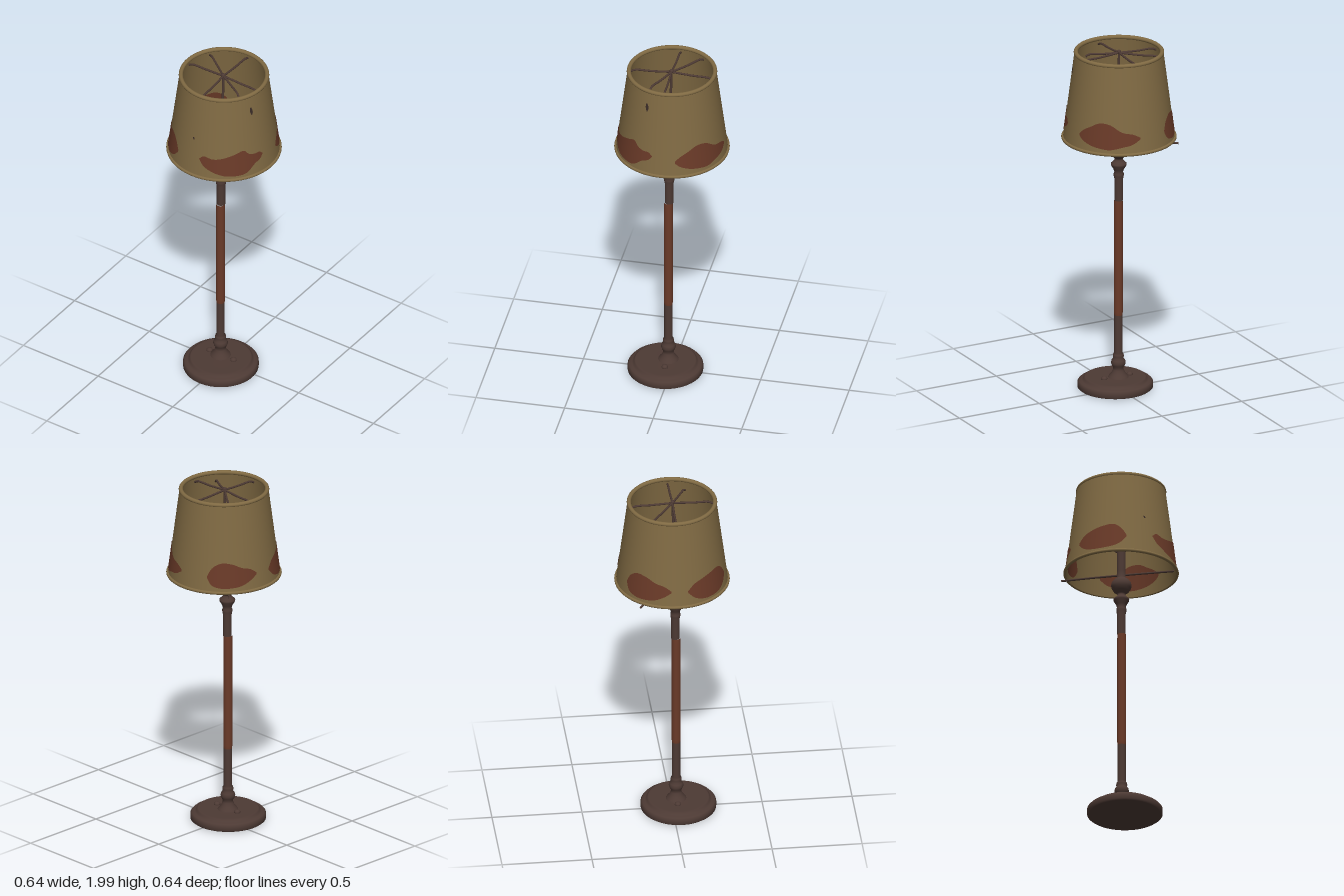
import * as THREE from 'three';

const material = (name, color, side = THREE.FrontSide) => {
  const m = new THREE.MeshStandardMaterial({ color, side });
  m.name = name;
  return m;
};

// Shade wall: radius at height y, straight taper
const wallRadius = (y) => 0.31 + (y - 1.48) * (0.245 - 0.31) / (1.99 - 1.48);
const WALL = 0.008;

export function createModel() {
  const group = new THREE.Group();
  const iron = material('dark iron', 0x4d3a34);
  const rust = material('rust', 0x6a3a28);
  const cloth = material('olive cloth', 0x806a43);
  const stain = material('rust stain', 0x6a3a28, THREE.DoubleSide);
  const tear = material('dark tear', 0x3a2c27, THREE.DoubleSide);

  const add = (name, geometry, mat, x = 0, y = 0, z = 0) => {
    const mesh = new THREE.Mesh(geometry, mat);
    mesh.name = name;
    mesh.position.set(x, y, z);
    group.add(mesh);
    return mesh;
  };
  const lathe = (points, segments = 48) =>
    new THREE.LatheGeometry(points.map(([r, y]) => new THREE.Vector2(r, y)), segments);
  const rod = (name, points, radius) => {
    const curve = new THREE.CatmullRomCurve3(points.map((p) => new THREE.Vector3(...p)));
    return add(name, new THREE.TubeGeometry(curve, 16, radius, 8), iron);
  };

  // Stepped round foot
  add('base', lathe([
    [0, 0.003], [0.2, 0.003], [0.2, 0.003], [0.209, 0.01], [0.209, 0.036], [0.2, 0.046],
    [0.185, 0.05], [0.176, 0.053], [0.174, 0.062], [0.166, 0.067], [0.155, 0.064], [0, 0.068],
  ], 64), iron, 0.004, 0, 0.036);

  // Bolt heads on the foot
  for (const x of [-0.08, 0.08]) {
    const bolt = add('baseBolt', new THREE.SphereGeometry(0.018, 16, 10), iron, x, 0.068, 0.024);
    bolt.scale.y = 0.8;
  }

  // Column in three lengths: turned foot, rusty tube, turned head
  const px = -0.008, pz = 0.022;
  add('lowerColumn', lathe([
    [0.06, 0.06], [0.052, 0.075], [0.038, 0.09], [0.03, 0.11], [0.028, 0.122], [0.036, 0.135],
    [0.041, 0.15], [0.037, 0.166], [0.028, 0.176], [0.031, 0.188], [0.029, 0.2], [0.023, 0.208],
    [0.023, 0.43],
  ], 32), iron, px, 0, pz);
  add('rustyColumn', lathe([[0.023, 0.43], [0.025, 0.45], [0.025, 1.08], [0.024, 1.105]], 32),
    rust, px, 0, pz);
  add('upperColumn', lathe([
    [0.024, 1.105], [0.024, 1.23], [0.028, 1.25], [0.028, 1.262], [0.024, 1.272], [0.029, 1.288],
    [0.043, 1.312], [0.044, 1.322], [0.032, 1.333], [0.022, 1.345], [0.024, 1.355],
    [0.042, 1.368], [0.054, 1.388], [0.057, 1.404], [0.053, 1.422], [0.039, 1.44],
    [0.024, 1.45], [0.024, 1.49], [0.024, 1.66], [0.02, 1.68], [0, 1.682],
  ], 32), iron, px, 0, pz * 0.8);

  // Thin stem from the socket to the hub
  rod('stem', [[px, 1.67, pz * 0.8], [-0.003, 1.82, 0.008], [-0.002, 1.98, 0.003]], 0.007);
  add('hub', new THREE.SphereGeometry(0.011, 16, 12), iron, -0.002, 1.983, 0.003);

  // Spokes from hub to top ring
  const ends = [[-0.232, 0], [0.232, 0], [0, -0.232], [0.004, 0.23], [-0.188, -0.137], [0.16, 0.09]];
  for (const [x, z] of ends) {
    rod('spoke', [[-0.002, 1.977, 0.003], [x * 0.5, 1.97, z * 0.5],
      [x * 0.9, 1.967, z * 0.9], [x, 1.955, z]], 0.006);
  }

  // Short curved arms at the socket
  for (let i = 0; i < 4; i++) {
    const a = i * Math.PI / 2, s = Math.sin(a), c = Math.cos(a);
    rod('socketArm', [[px + 0.02 * s, 1.62, 0.018 + 0.02 * c], [px + 0.06 * s, 1.635, 0.018 + 0.06 * c],
      [px + 0.09 * s, 1.67, 0.018 + 0.09 * c]], 0.005);
  }

  // Loose rod crossing under the shade and poking out at the back
  rod('looseRod', [[-0.262, 1.467, -0.208], [-0.12, 1.475, -0.1], [0.03, 1.48, 0.015],
    [0.24, 1.486, 0.172]], 0.006);

  // Shade wall with thickness, and rolled rims
  const lo = 1.48, hi = 1.985;
  add('shade', lathe([
    [wallRadius(lo), lo], [wallRadius(hi), hi],
  ], 96), cloth);
  add('shadeLining', lathe([
    [wallRadius(hi) - WALL, hi], [wallRadius(lo) - WALL, lo],
  ], 96), cloth);
  const ring = (name, radius, tube, y) => {
    const geometry = new THREE.TorusGeometry(radius, tube, 12, 96);
    geometry.rotateX(Math.PI / 2);
    add(name, geometry, cloth, 0, y, 0);
  };
  ring('topRim', 0.238, 0.012, 1.984);
  ring('bottomRim', 0.31, 0.009, 1.488);

  // Curved patch on the wall; outline rows are [angle in degrees, low y, high y]
  const patch = (name, rows, mat, offset, rounds = 60) => {
    const curve = (k) => new THREE.CatmullRomCurve3(
      rows.map((r) => new THREE.Vector3(r[0], r[k], 0)), false, 'centripetal');
    const low = curve(1), high = curve(2), pos = [], index = [], steps = 4;
    for (let i = 0; i <= rounds; i++) {
      const a = low.getPoint(i / rounds), b = high.getPoint(i / rounds);
      for (let j = 0; j <= steps; j++) {
        const p = a.clone().lerp(b, j / steps);
        const t = THREE.MathUtils.degToRad(p.x), r = wallRadius(p.y) + offset;
        pos.push(r * Math.sin(t), p.y, r * Math.cos(t));
        if (i < rounds && j < steps) {
          const n = i * (steps + 1) + j, m = n + steps + 1;
          index.push(n, m, m + 1, n, m + 1, n + 1);
        }
      }
    }
    const geometry = new THREE.BufferGeometry();
    geometry.setAttribute('position', new THREE.Float32BufferAttribute(pos, 3));
    geometry.setIndex(index);
    geometry.computeVertexNormals();
    add(name, geometry, mat);
  };

  // Rust stains, soaked through to the lining
  const stains = [
    [[7, 1.6, 1.605], [12, 1.565, 1.625], [22, 1.535, 1.615], [34, 1.515, 1.625], [46, 1.51, 1.645],
      [57, 1.515, 1.66], [62, 1.53, 1.635], [69, 1.56, 1.622], [76, 1.575, 1.62], [80, 1.597, 1.603]],
    [[105, 1.57, 1.58], [110, 1.55, 1.605], [120, 1.53, 1.635], [130, 1.52, 1.66], [142, 1.515, 1.655],
      [155, 1.53, 1.615], [167, 1.545, 1.6], [175, 1.57, 1.58]],
    [[208, 1.57, 1.58], [212, 1.535, 1.62], [222, 1.515, 1.655], [235, 1.515, 1.65], [246, 1.525, 1.625],
      [256, 1.55, 1.61], [263, 1.575, 1.585]],
    [[281, 1.57, 1.58], [288, 1.535, 1.615], [298, 1.515, 1.635], [310, 1.51, 1.65], [324, 1.52, 1.655],
      [332, 1.545, 1.625], [337, 1.575, 1.585]],
  ];
  for (const rows of stains) {
    patch('outerStain', rows, stain, 0.0025);
    patch('innerStain', rows, stain, -WALL - 0.0025);
  }

  // Small tears in the cloth
  patch('sideTear', [[68, 1.89, 1.91], [70, 1.865, 1.915], [72, 1.88, 1.895]], tear, 0.002, 8);
  patch('frontTear', [[-3, 1.717, 1.722], [-1.5, 1.708, 1.722], [-0.5, 1.712, 1.716]], tear, 0.002, 8);

  return group;
}
